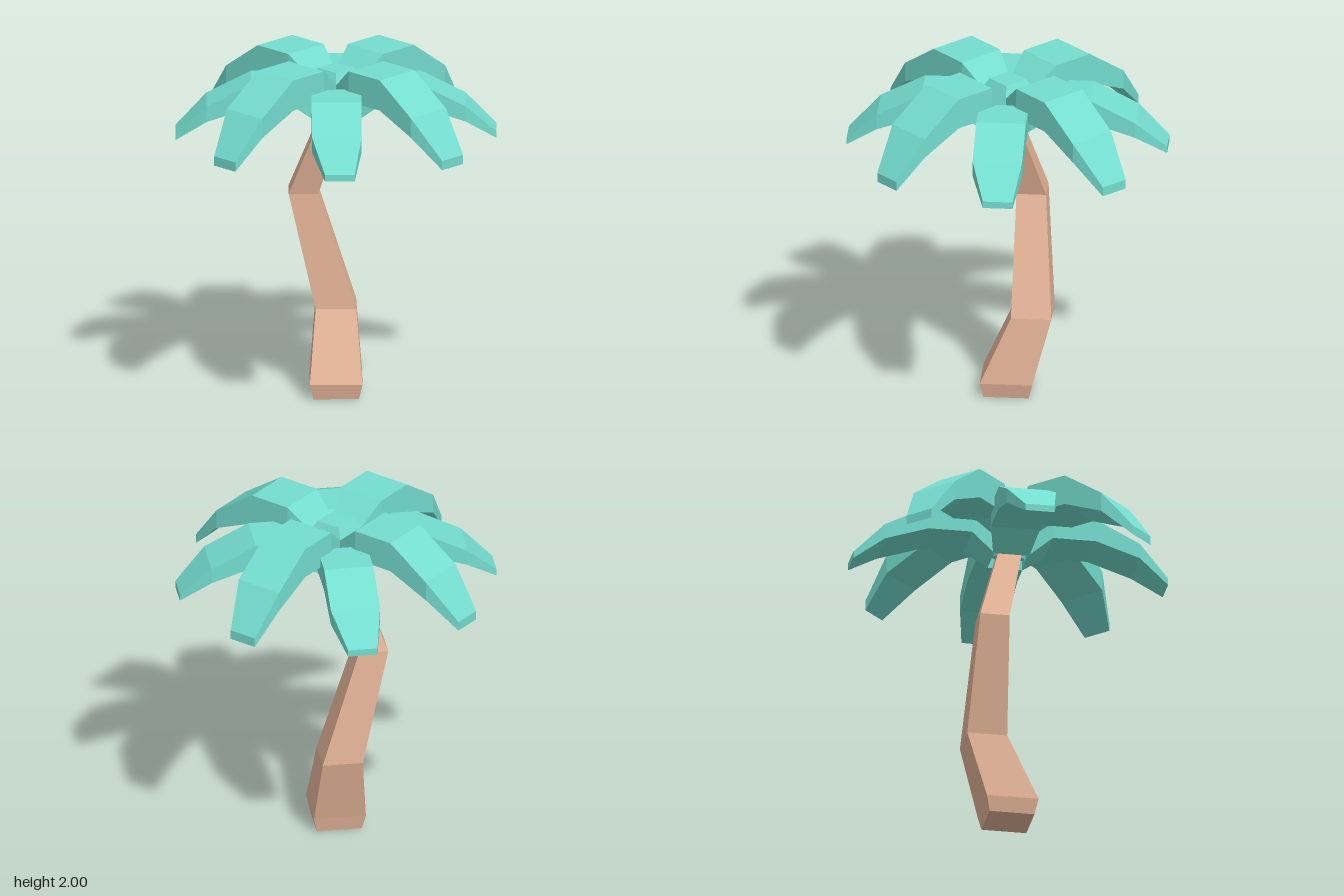
import * as THREE from 'three';

const leafMaterial = new THREE.MeshStandardMaterial({ color: 0x74ddcf, flatShading: true });
const trunkMaterial = new THREE.MeshStandardMaterial({ color: 0xe6b699, flatShading: true });

// Joins four-cornered rings into a closed, faceted solid
function loft(rings) {
  const positions = [];
  const quad = (a, b, c, d) => positions.push(...a, ...b, ...c, ...a, ...c, ...d);
  for (let i = 0; i < rings.length - 1; i++) {
    for (let j = 0; j < 4; j++) {
      const k = (j + 1) % 4;
      quad(rings[i][j], rings[i][k], rings[i + 1][k], rings[i + 1][j]);
    }
  }
  quad(...[...rings[0]].reverse());
  quad(...rings[rings.length - 1]);
  const geometry = new THREE.BufferGeometry();
  geometry.setAttribute('position', new THREE.Float32BufferAttribute(positions, 3));
  geometry.computeVertexNormals();
  return geometry;
}

// Square section at height y: centre x, centre z, half width
const trunkRing = ([y, x, z, h]) => [
  [x - h, y, z + h], [x + h, y, z + h], [x + h, y, z - h], [x - h, y, z - h],
];

// Leaf section at distance r: bottom, top, half width, sideways shift
const leafRing = ([r, bottom, top, h, shift = 0]) => [
  [shift - h, bottom, r], [shift + h, bottom, r], [shift + h, top, r], [shift - h, top, r],
];

function addMesh(parent, name, geometry, material) {
  const mesh = new THREE.Mesh(geometry, material);
  mesh.name = name;
  parent.add(mesh);
  return mesh;
}

export function createModel() {
  const tree = new THREE.Group();
  tree.name = 'palmTree';

  // Crooked square trunk
  const trunk = [
    [0, 0, 0, 0.13],
    [0.09, 0, 0, 0.15],
    [0.49, 0, -0.142, 0.116],
    [1.175, -0.185, -0.125, 0.085],
    [1.73, 0.005, 0.015, 0.065],
  ];
  addMesh(tree, 'trunk', loft(trunk.map(trunkRing)), trunkMaterial);

  // Lower leaves on the axes, taller arched leaves on the diagonals
  const lowLeaf = loft([
    [0.1, 1.64, 1.76, 0.105],
    [0.235, 1.745, 1.88, 0.142],
    [0.485, 1.745, 1.88, 0.142],
    [0.74, 1.66, 1.75, 0.142],
    [0.917, 1.54, 1.58, 0.085, 0.016],
  ].map(leafRing));
  const highLeaf = loft([
    [0.105, 1.72, 1.88, 0.105],
    [0.24, 1.82, 2.0, 0.142],
    [0.49, 1.82, 2.0, 0.142],
    [0.743, 1.71, 1.825, 0.142],
    [0.92, 1.54, 1.595, 0.085, 0.016],
  ].map(leafRing));

  const leaves = new THREE.Group();
  leaves.name = 'leaves';
  tree.add(leaves);
  for (let i = 0; i < 8; i++) {
    const high = i % 2 === 1;
    const leaf = addMesh(leaves, high ? 'highLeaf' : 'lowLeaf', high ? highLeaf : lowLeaf, leafMaterial);
    leaf.rotation.y = (i * Math.PI) / 4;
  }

  // Tapered block where the leaves meet
  const crownTop = addMesh(tree, 'crownTop', new THREE.CylinderGeometry(0.105, 0.15, 0.06, 4), leafMaterial);
  crownTop.position.y = 1.91;
  const crownBase = addMesh(tree, 'crownBase', new THREE.CylinderGeometry(0.15, 0.1, 0.22, 4), leafMaterial);
  crownBase.position.y = 1.77;

  return tree;
}
